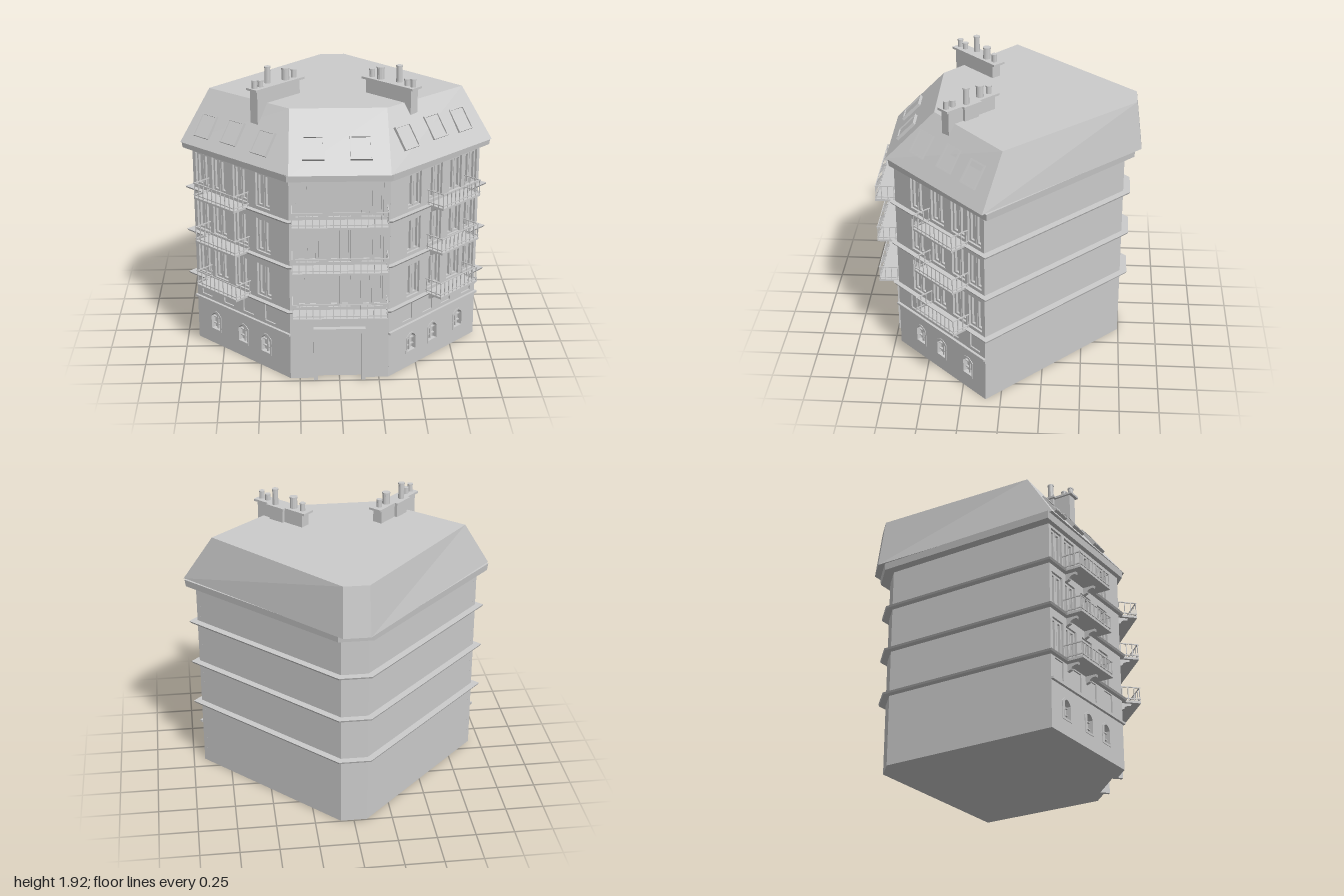
import * as THREE from 'three';

const mat = new THREE.MeshStandardMaterial({ color: 0xcccccc, flatShading: true });
const R2 = Math.SQRT2;
const DEPTH = 0.03; // window recess

function add(parent, name, geo, x = 0, y = 0, z = 0) {
  const m = new THREE.Mesh(geo, mat);
  m.name = name;
  m.position.set(x, y, z);
  parent.add(m);
  return m;
}
const box = (parent, name, w, h, d, x, y, z) => add(parent, name, new THREE.BoxGeometry(w, h, d), x, y, z);
const extrude = (shape, depth) => new THREE.ExtrudeGeometry(shape, { depth, bevelEnabled: false, curveSegments: 6 });

// Six-sided footprint; f offsets the three street faces, b the rear faces
function footprint(f, b) {
  const p = 1.02 + R2 * f, q = 0.83 + R2 * b, front = 0.71 + f, back = 0.745 + b;
  return mirrorRing([[p - front, front], [(p + q) / 2, (p - q) / 2], [q - back, -back]]);
}
function mirrorRing(half) {
  return [...half, ...half.slice().reverse().map(([x, z]) => [-x, z])];
}

// Solid between two convex rings of [x, z] points
function loft(lower, y0, upper, y1) {
  const v = [], n = lower.length;
  const L = i => [lower[i % n][0], y0, lower[i % n][1]];
  const U = i => [upper[i % n][0], y1, upper[i % n][1]];
  for (let i = 0; i < n; i++) {
    v.push(L(i), L(i + 1), U(i + 1), L(i), U(i + 1), U(i));
    if (i > 0 && i < n - 1) v.push(U(0), U(i), U(i + 1), L(0), L(i + 1), L(i));
  }
  const g = new THREE.BufferGeometry();
  g.setAttribute('position', new THREE.Float32BufferAttribute(v.flat(), 3));
  g.computeVertexNormals();
  return g;
}

function trace(path, pts) {
  path.setFromPoints(pts.map(p => new THREE.Vector2(...p)));
  path.closePath();
  return path;
}
const rect = (path, x, y0, y1, w) => trace(path, [[x - w / 2, y0], [x + w / 2, y0], [x + w / 2, y1], [x - w / 2, y1]]);
function arch(path, x, y0, y1, w) {
  path.moveTo(x - w / 2, y0);
  path.lineTo(x + w / 2, y0);
  path.lineTo(x + w / 2, y1 - 0.03);
  path.quadraticCurveTo(x, y1 + 0.03, x - w / 2, y1 - 0.03);
  path.closePath();
  return path;
}
function frame(make, w, h, t, depth) {
  const s = make(new THREE.Shape(), 0, 0, h, w);
  s.holes.push(make(new THREE.Path(), 0, t, h - t, w - 2 * t));
  return extrude(s, depth);
}

// Balcony with slab, railing and curved brackets
function balcony(parent, x, y, w, brackets) {
  const g = new THREE.Group();
  g.name = 'balcony';
  g.position.set(x, y, 0);
  parent.add(g);
  const d = 0.132, r = 0.006;
  box(g, 'balconySlab', w, 0.014, d, 0, 0, d / 2);
  for (const h of [0.022, 0.1]) {
    box(g, 'frontRail', w, r, r, 0, h, d - r);
    for (const s of [-1, 1]) box(g, 'sideRail', r, r, d, s * (w / 2 - r / 2), h, d / 2);
  }
  const n = Math.round(w / 0.042);
  for (let i = 0; i <= n; i++) box(g, 'baluster', 0.005, 0.1, 0.005, (i / n - 0.5) * (w - r), 0.05, d - r);
  for (const s of [-1, 1]) for (const z of [0.01, 0.05, 0.09]) box(g, 'baluster', 0.005, 0.1, 0.005, s * (w / 2 - r / 2), 0.05, z);
  const prof = new THREE.Shape();
  prof.moveTo(0, 0);
  prof.lineTo(0.075, 0);
  prof.lineTo(0.07, -0.016);
  prof.quadraticCurveTo(0.03, -0.015, 0.025, -0.04);
  prof.lineTo(0, -0.05);
  prof.closePath();
  for (const b of brackets) add(g, 'bracket', extrude(prof, 0.024), b - 0.012, -0.006, 0).rotation.y = -Math.PI / 2;
}

// One street face: pierced wall, windows, ledge and balconies
function facade(root, spec, sign, x, z, angle) {
  const g = new THREE.Group();
  g.name = spec.name;
  g.position.set(x, 0, z);
  g.rotation.y = angle;
  root.add(g);
  const W = spec.width / 2, top = 1.345;
  const gate = spec.door ? [[-0.137, 0], [-0.137, 0.32], [0.137, 0.32], [0.137, 0]] : [];
  const wall = trace(new THREE.Shape(), [[-W, 0], ...gate, [W, 0], [W, top], [-W, top]]);
  for (const y of [0.475, 0.78, 1.08]) {
    for (const s of spec.windows) {
      const cx = sign * s, w = spec.windowWidth, y0 = y + 0.022, h = 0.22;
      wall.holes.push(rect(new THREE.Path(), cx, y0, y0 + h, w));
      for (const k of [-1, 1]) add(g, 'windowSash', frame(rect, w / 2 - 0.003, h, 0.014, 0.016), cx + k * w / 4, y0, -DEPTH);
    }
    balcony(g, sign * spec.balcony[0], y - 0.005, spec.balcony[1], spec.brackets);
  }
  for (const s of spec.panels) {
    wall.holes.push(rect(new THREE.Path(), sign * s, 0.335, 0.455, 0.095));
    box(g, 'blindPanel', 0.095, 0.12, 0.02, sign * s, 0.395, -0.02);
  }
  for (const s of spec.arches) {
    const cx = sign * s, w = 0.105;
    wall.holes.push(arch(new THREE.Path(), cx, 0.095, 0.24, w));
    add(g, 'archedFrame', frame(arch, w, 0.145, 0.013, 0.034), cx, 0.095, -DEPTH);
    box(g, 'mullion', 0.012, 0.13, 0.016, cx, 0.165, -0.022);
    for (const y of [0.14, 0.185]) box(g, 'glazingBar', w, 0.007, 0.014, cx, y, -0.022);
  }
  add(g, 'wall', extrude(wall, DEPTH), 0, 0, -DEPTH);
  if (spec.door) {
    const p = trace(new THREE.Shape(), [[-0.163, 0], [-0.137, 0], [-0.137, 0.325], [0.137, 0.325], [0.137, 0], [0.163, 0], [0.163, 0.358], [-0.163, 0.358]]);
    add(g, 'portalSurround', extrude(p, 0.034));
  } else box(g, 'ledge', spec.width + 0.012, 0.014, 0.018, 0, 0.307, 0.009);
}

// Roof window laid on the sloping plane through a, b (eave) and c (ridge)
function skylight(root, a, b, c, x, z) {
  const u = b.clone().sub(a).normalize();
  const n = u.clone().cross(c.clone().sub(a)).normalize();
  const y = a.y - (n.x * (x - a.x) + n.z * (z - a.z)) / n.y;
  const g = new THREE.Group();
  g.name = 'skylight';
  g.quaternion.setFromRotationMatrix(new THREE.Matrix4().makeBasis(u, n.clone().cross(u), n));
  g.position.set(x, y, z);
  root.add(g);
  add(g, 'skylightFrame', frame(rect, 0.135, 0.158, 0.01, 0.022), 0, -0.079, -0.002);
  box(g, 'skylightPane', 0.12, 0.14, 0.014, 0, 0, 0.004);
}

// Chimney stack with a stepped side and five pots, set across the slope
function chimney(root, side) {
  const g = new THREE.Group();
  g.name = 'chimney';
  const cx = side > 0 ? 0.337 : 0.383, cz = 0.225;
  g.position.set(side * cx, 0, cz);
  g.rotation.y = -side * Math.PI / 4;
  root.add(g);
  box(g, 'stack', 0.37, 0.26, 0.065, side * 0.005, 1.67, 0);
  box(g, 'stackStep', 0.11, 0.26, 0.05, side * 0.02, 1.67, -0.025);
  box(g, 'chimneyCap', 0.42, 0.014, 0.09, 0, 1.806, 0);
  box(g, 'chimneyCapStep', 0.14, 0.014, 0.06, side * 0.02, 1.806, -0.035);
  const pots = [[-0.16, 0, 1.865, 0.018], [-0.087, 0, 1.89, 0.025], [0.044, -0.026, 1.92, 0.02], [0.13, 0, 1.855, 0.018], [0.18, 0, 1.865, 0.018]];
  for (const [s, z, top, r] of pots) {
    const h = top - 1.81;
    add(g, 'chimneyPot', new THREE.CylinderGeometry(r * 0.92, r, h, 12), side * s, 1.81 + h / 2, z);
    add(g, 'potRim', new THREE.CylinderGeometry(r * 1.06, r * 1.06, 0.01, 12), side * s, top - 0.005, z);
  }
}

export function createModel() {
  const root = new THREE.Group();
  root.name = 'cornerBuilding';

  // Core body, floor bands and eaves
  add(root, 'core', loft(footprint(-DEPTH, 0), 0, footprint(-DEPTH, 0), 1.345));
  for (const y of [0.475, 0.78, 1.08]) {
    add(root, 'floorBand', loft(footprint(0.026, 0.04), y - 0.012, footprint(0.033, 0.045), y));
  }
  add(root, 'eaves', loft(footprint(0.03, 0.06), 1.34, footprint(0.035, 0.065), 1.387));

  // Street faces
  const front = {
    name: 'frontFacade', width: 0.62, windows: [-0.2, 0, 0.2], windowWidth: 0.138,
    panels: [], arches: [], balcony: [0, 0.59], brackets: [-0.24, 0, 0.24], door: true
  };
  const onSide = xs => xs.map(x => (x - 0.6175) * R2);
  const sideSpec = {
    name: 'sideFacade', width: 0.87, windows: onSide([0.47, 0.615, 0.752, 0.862]), windowWidth: 0.125,
    panels: onSide([0.435, 0.577, 0.708, 0.857]), arches: onSide([0.467, 0.617, 0.803]),
    balcony: [0.1, 0.37], brackets: [-0.11, 0.11], door: false
  };
  facade(root, front, 1, 0, 0.71, 0);
  for (const s of [1, -1]) facade(root, sideSpec, s, s * 0.6175, 0.4025, s * Math.PI / 4);

  // Mansard roof
  const eave = mirrorRing([[0.31, 0.76], [1, 0.1], [0.085, -0.85]]);
  const ridge = mirrorRing([[0.3, 0.445], [0.81, -0.01], [0.08, -0.81]]);
  add(root, 'roof', loft(eave, 1.385, ridge, 1.71));

  // Roof windows
  const E = i => new THREE.Vector3(eave[i][0], 1.385, eave[i][1]);
  const T = i => new THREE.Vector3(ridge[i][0], 1.71, ridge[i][1]);
  for (const x of [-0.157, 0.132]) skylight(root, E(5), E(0), T(0), x, 0.635);
  for (const [x, z] of [[0.413, 0.508], [0.605, 0.32], [0.78, 0.16]]) {
    skylight(root, E(0), E(1), T(0), x, z);
    skylight(root, E(4), E(5), T(5), -x - 0.045, z - 0.01);
  }

  for (const s of [1, -1]) chimney(root, s);
  return root;
}
